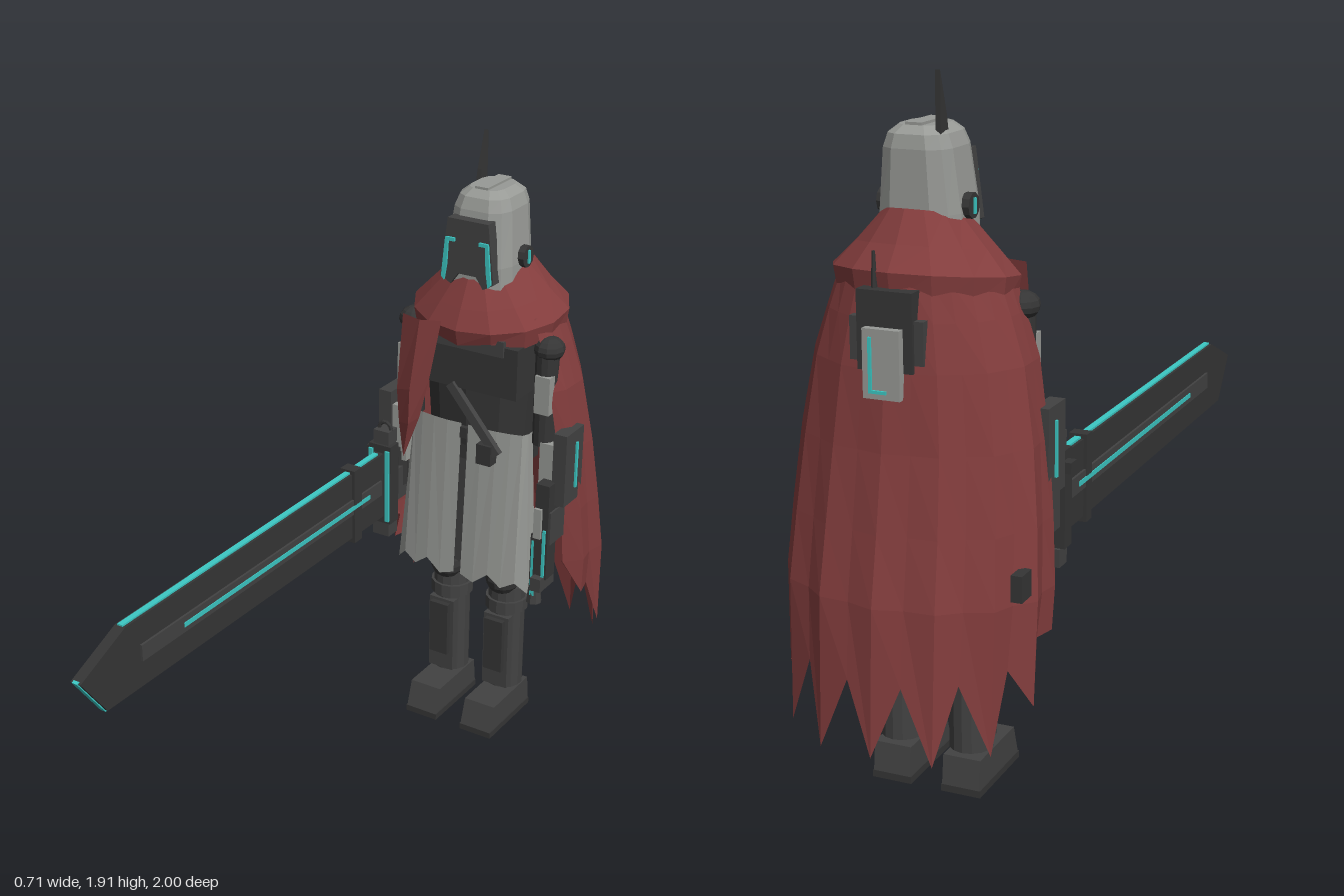
import * as THREE from 'three';

const mat = (name, color, side = THREE.FrontSide) => {
  const m = new THREE.MeshStandardMaterial({ color, side, flatShading: true });
  m.name = name;
  return m;
};

export function createModel() {
  const red = mat('clothRed', 0x833d3d, THREE.DoubleSide);
  const light = mat('paleGrey', 0x989a96, THREE.DoubleSide);
  const dark = mat('darkGrey', 0x424242);
  const black = mat('charcoal', 0x353535);
  const cyan = mat('glowCyan', 0x3cc8c4);
  const model = new THREE.Group();
  model.name = 'cloakedSwordsman';

  const add = (name, geo, m, x = 0, y = 0, z = 0) => {
    const mesh = new THREE.Mesh(geo, m);
    mesh.name = name;
    mesh.position.set(x, y, z);
    model.add(mesh);
    return mesh;
  };
  // Box given by its limits on each axis
  const box = (name, m, x0, x1, y0, y1, z0, z1) =>
    add(name, new THREE.BoxGeometry(x1 - x0, y1 - y0, Math.abs(z1 - z0)), m, (x0 + x1) / 2, (y0 + y1) / 2, (z0 + z1) / 2);
  const cyl = (name, m, rt, rb, y0, y1, x, z, n = 12) =>
    add(name, new THREE.CylinderGeometry(rt, rb, y1 - y0, n), m, x, (y0 + y1) / 2, z);
  // Flat outline extruded along z, or along x when the outline is [z, y]
  const plate = (name, m, pts, depth, at, alongX = false) => {
    const g = new THREE.ExtrudeGeometry(new THREE.Shape(pts.map(p => new THREE.Vector2(...p))), { depth, bevelEnabled: false });
    g.translate(0, 0, -depth / 2);
    if (alongX) g.rotateY(-Math.PI / 2);
    return add(name, g, m, alongX ? at : 0, 0, alongX ? 0 : at);
  };
  // Skin across rows of [x, y, z] points, optionally capped at the last row
  const loft = (name, m, rows, closed = false, cap = false) => {
    const n = rows[0].length, pos = rows.flat(2), idx = [];
    for (let r = 0; r < rows.length - 1; r++)
      for (let i = 0; i < (closed ? n : n - 1); i++) {
        const a = r * n + i, b = r * n + (i + 1) % n;
        idx.push(a, b, a + n, b, b + n, a + n);
      }
    const last = (rows.length - 1) * n;
    if (cap) for (let i = 1; i < n - 1; i++) idx.push(last, last + i, last + i + 1);
    const g = new THREE.BufferGeometry();
    g.setAttribute('position', new THREE.Float32BufferAttribute(pos, 3));
    g.setIndex(idx);
    g.computeVertexNormals();
    return add(name, g, m);
  };

  // Cape: open wrap around the back with folds and a ragged hem
  const tipY = [0.23, 0.22, 0.24, 0.34, 0.50], valleyY = [0.42, 0.43, 0.45, 0.50, 0.62];
  const capeRows = [ // y, half width, centre z, depth
    [1.42, 0.22, -0.64, 0.20], [1.32, 0.258, -0.645, 0.215], [1.2, 0.298, -0.65, 0.23], [1.0, 0.332, -0.67, 0.235],
    [0.8, 0.352, -0.69, 0.25], [0.62, 0.364, -0.71, 0.265], [0, 0.358, -0.72, 0.278]];
  loft('cape', red, capeRows.map(([y, rx, cz, rz], r) => {
    const row = [];
    for (let i = 0; i <= 18; i++) {
      const k = (i - 9) / 2, a = k * 26 * Math.PI / 180, tip = i % 2 === 1;
      const fold = tip ? 1 : 1 - 0.012 * r;
      const hem = tip ? tipY[Math.abs(k)] : valleyY[Math.floor(Math.abs(k))];
      row.push([rx * fold * Math.sin(a), y || hem, cz - rz * fold * Math.cos(a)]);
    }
    return row;
  }));

  // Collar of the cape, raised at the nape
  loft('cowl', red, [[1.55, 0.105, -0.625, 0.13], [1.47, 0.185, -0.63, 0.175], [1.41, 0.245, -0.64, 0.213], [1.34, 0.235, -0.64, 0.2]]
    .map(([y, rx, cz, rz], r) => Array.from({ length: 14 }, (_, i) => {
      const a = i / 14 * Math.PI * 2, c = Math.cos(a);
      return [rx * Math.sin(a), y - 0.03 * c * (r < 3 ? 1 : 0.3) + (i % 2 && r === 3 ? 0.015 : 0), cz + rz * c];
    })), true);

  // Scarf end hanging down the chest
  loft('scarfEnd', red, [
    [[-0.18, 1.40, -0.425], [-0.11, 1.40, -0.405], [-0.05, 1.40, -0.43]],
    [[-0.20, 1.15, -0.425], [-0.14, 1.17, -0.40], [-0.09, 1.20, -0.43]],
    [[-0.195, 1.04, -0.43], [-0.15, 1.05, -0.41], [-0.125, 1.07, -0.435]],
    [[-0.185, 0.92, -0.44], [-0.183, 0.925, -0.435], [-0.18, 0.93, -0.44]]]);

  // Helmet from chamfered rectangles
  loft('helmet', light, [[1.47, 0.112, -0.615, 0.115], [1.56, 0.11, -0.615, 0.115], [1.72, 0.093, -0.627, 0.104], [1.755, 0.08, -0.63, 0.094], [1.775, 0.055, -0.63, 0.07]]
    .map(([y, w, cz, d]) => [[0.5, 1], [0.85, 0.8], [1, 0.45], [1, -0.45], [0.85, -0.8], [0.5, -1], [-0.5, -1], [-0.85, -0.8], [-1, -0.45], [-1, 0.45], [-0.85, 0.8], [-0.5, 1]]
      .map(([x, z]) => [x * w, y, cz + z * d]).reverse()).reverse().map(r => r.reverse()).reverse().map(r => r.reverse()), true, true);
  plate('visor', dark, [[-0.068, 1.70], [-0.09, 1.52], [-0.055, 1.50], [-0.03, 1.535], [0.03, 1.535], [0.055, 1.50], [0.09, 1.52], [0.068, 1.70]], 0.04, -0.507);
  cyl('neck', black, 0.08, 0.09, 1.38, 1.52, 0, -0.62);
  box('crownPlate', light, -0.022, 0.022, 1.774, 1.782, -0.70, -0.56);
  plate('helmetFin', black, [[-0.65, 1.75], [-0.66, 1.80], [-0.695, 1.91], [-0.695, 1.75]], 0.014, -0.064, true).rotation.z = 0;
  for (const s of [-1, 1]) {
    plate('visorLight', cyan, [[0.062, 1.642], [0.072, 1.642], [0.084, 1.52], [0.074, 1.51], [0.066, 1.56]].map(([x, y]) => [s * x, y]), 0.008, -0.484);
    box('browLight', cyan, s * 0.055 - 0.014, s * 0.055 + 0.014, 1.632, 1.643, -0.488, -0.48);
    add('earDisc', new THREE.CylinderGeometry(0.033, 0.033, 0.03, 10).rotateZ(Math.PI / 2), black, s * 0.112, 1.575, -0.628);
    box('earLight', cyan, s * 0.129 - 0.003, s * 0.129 + 0.003, 1.555, 1.595, -0.633, -0.623);
  }

  // Torso with chest plate, strap and pouch
  const torso = cyl('torso', black, 0.20, 0.17, 0.98, 1.40, 0, -0.60, 10);
  torso.scale.z = 0.55;
  box('chestPlate', black, -0.185, 0.185, 1.18, 1.34, -0.60, -0.475);
  box('collarPlate', dark, -0.14, 0.14, 1.31, 1.36, -0.60, -0.468);
  box('hips', black, -0.16, 0.16, 0.92, 1.0, -0.68, -0.53);
  box('strap', dark, -0.13, 0.13, -0.014, 0.014, -0.484, -0.464).position.set(0.045, 1.09, -0.474);
  model.getObjectByName('strap').rotation.z = -0.87;
  box('pouch', black, 0.065, 0.115, 0.955, 1.02, -0.495, -0.455);
  box('beltBuckle', black, -0.012, 0.012, 1.01, 1.045, -0.51, -0.488);

  for (const s of [-1, 1]) {
    // Split skirt panel
    const top = [[0.012, -0.497], [0.06, -0.494], [0.11, -0.498], [0.155, -0.505], [0.19, -0.515], [0.2, -0.535], [0.2, -0.56]];
    const hem = [[0.012, 0.55, -0.468], [0.06, 0.535, -0.463], [0.11, 0.575, -0.466], [0.155, 0.54, -0.47], [0.2, 0.565, -0.48], [0.235, 0.53, -0.50], [0.235, 0.57, -0.55]];
    loft('skirtPanel', light, [top.map(([x, z]) => [s * x, 1.055, z]), hem.map(([x, y, z]) => [s * x, y, z])]);

    // Leg, boot and foot
    const x = s * 0.102, z = -0.618;
    cyl('thigh', black, 0.075, 0.055, 0.5, 0.96, x, -0.60);
    add('knee', new THREE.SphereGeometry(0.055, 12, 8), black, x, 0.51, -0.585);
    cyl('shin', dark, 0.06, 0.06, 0.115, 0.48, x, z, 14);
    cyl('bootCuff', dark, 0.069, 0.069, 0.395, 0.435, x, z, 14);
    box('shinGuard', black, x - 0.033, x + 0.033, 0.19, 0.375, -0.60, -0.532);
    box('shinGuardBase', dark, x - 0.045, x + 0.045, 0.125, 0.385, -0.61, -0.55);
    box('sole', black, x - 0.057, x + 0.057, 0, 0.02, -0.69, -0.43);
    plate('foot', dark, [[-0.69, 0.02], [-0.432, 0.02], [-0.458, 0.103], [-0.68, 0.103]], 0.108, x, true);

    // Arm
    add('shoulder', new THREE.SphereGeometry(0.047, 10, 8), black, s * 0.235, 1.325, -0.58).scale.set(1, 0.8, 1.05);
    cyl('upperArm', black, 0.036, 0.036, 1.02, 1.31, s * 0.232, -0.575);
    box('upperArmPlate', light, s * 0.24 - 0.025, s * 0.24 + 0.025, 1.13, 1.25, -0.60, -0.532);
    box('forearm', light, s * 0.272 - 0.035, s * 0.272 + 0.035, 0.85, 1.035, -0.625, -0.54);
    cyl('wrist', black, 0.03, 0.03, 0.76, 0.88, s * 0.275, -0.56);
    box('hand', dark, s * 0.278 - 0.028, s * 0.278 + 0.028, 0.72, 0.83, -0.59, -0.50);
    box('gauntlet', dark, s * 0.31 - 0.022, s * 0.31 + 0.022, 0.845, 1.08, -0.64, -0.53);
    box('gauntletLight', cyan, s * 0.335 - 0.003, s * 0.335 + 0.003, 0.89, 1.04, -0.60, -0.59);
  }
  box('elbowPod', black, -0.345, -0.315, 0.64, 0.71, -0.84, -0.78);

  // Sidearm pointing down from the left hand
  box('gunBody', black, 0.255, 0.30, 0.60, 0.92, -0.55, -0.495);
  box('gunBarrel', black, 0.238, 0.262, 0.52, 0.74, -0.545, -0.505);
  cyl('gunMuzzle', dark, 0.02, 0.025, 0.50, 0.55, 0.25, -0.52, 8);
  box('gunGrip', dark, 0.26, 0.295, 0.565, 0.61, -0.56, -0.47);
  box('gunSight', light, 0.255, 0.28, 0.74, 0.84, -0.497, -0.485);
  box('gunLightInner', cyan, 0.244, 0.258, 0.53, 0.72, -0.506, -0.499);
  box('gunLightOuter', cyan, 0.285, 0.294, 0.58, 0.77, -0.497, -0.489);

  // Great sword held forward in the right hand
  const sx = -0.28;
  plate('blade', black, [[-0.45, 0.685], [0.9, 0.69], [0.995, 0.82], [0.81, 0.9], [-0.45, 0.905]], 0.034, sx, true);
  plate('bladeEdgeTop', cyan, [[-0.43, 0.905], [0.81, 0.9], [0.81, 0.905], [-0.43, 0.911]], 0.018, sx, true);
  plate('bladeEdgeBottom', cyan, [[-0.43, 0.679], [0.9, 0.684], [0.9, 0.69], [-0.43, 0.685]], 0.018, sx, true);
  plate('bladeEdgeTip', cyan, [[0.9, 0.684], [1.0, 0.822], [0.99, 0.825], [0.892, 0.69]], 0.018, sx, true);
  box('bladePanel', dark, sx - 0.024, sx + 0.024, 0.77, 0.82, -0.43, 0.755);
  box('bladeLight', cyan, sx - 0.0265, sx + 0.0265, 0.787, 0.801, -0.36, 0.575);
  box('bladeCollar', black, sx - 0.026, sx + 0.026, 0.67, 0.917, -0.31, -0.27);
  box('guard', black, sx - 0.04, sx + 0.04, 0.66, 0.93, -0.50, -0.452);
  for (const s of [-1, 1]) box('guardLight', cyan, sx + s * 0.03 - 0.007, sx + s * 0.03 + 0.007, 0.67, 0.915, -0.453, -0.445);
  box('guardTop', dark, sx - 0.028, sx + 0.028, 0.93, 0.975, -0.51, -0.46);
  add('guardRing', new THREE.TorusGeometry(0.022, 0.007, 6, 10), black, sx, 0.975, -0.485);
  box('guardBottom', dark, sx - 0.03, sx + 0.03, 0.61, 0.66, -0.51, -0.46);
  box('swordGrip', black, sx - 0.017, sx + 0.017, 0.77, 0.81, -0.62, -0.50);
  box('guardWing', black, -0.345, -0.245, 0.875, 0.905, -0.52, -0.48);

  // Back unit
  box('packFrame', black, -0.075, 0.075, 1.20, 1.40, -0.875, -0.82);
  for (const s of [-1, 1]) box('packSide', dark, s * 0.085 - 0.015, s * 0.085 + 0.015, 1.22, 1.33, -0.865, -0.83);
  box('packCell', light, -0.05, 0.05, 1.135, 1.31, -0.897, -0.85);
  box('packLightTall', cyan, 0.024, 0.032, 1.15, 1.29, -0.903, -0.896);
  box('packLightBase', cyan, -0.015, 0.032, 1.15, 1.158, -0.903, -0.896);
  cyl('antenna', black, 0.004, 0.009, 1.38, 1.49, 0.04, -0.845, 6);
  return model;
}
